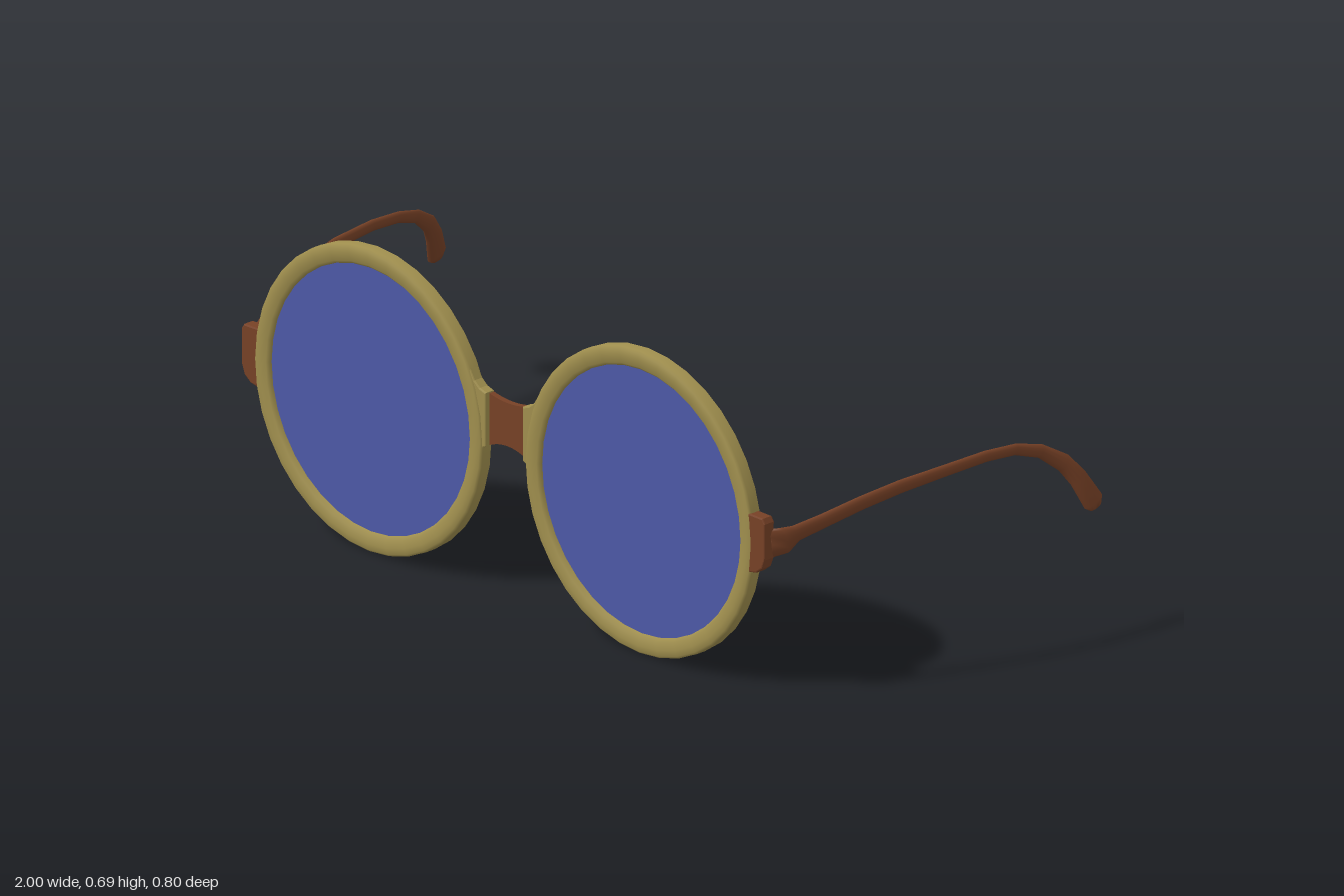
import * as THREE from 'three';

const CX = 0.407, CY = 0.343, CZ = 0.387; // lens centre

const mat = (name, color) => Object.assign(new THREE.MeshStandardMaterial({ color }), { name });

// Flat outline in x/y, mirrored by side, given depth from z0 to z1
function plate(points, side, z0, z1, bevel) {
  const shape = new THREE.Shape(points.map(([x, y]) => new THREE.Vector2(x * side, y)));
  const geo = new THREE.ExtrudeGeometry(shape, {
    depth: z1 - z0 - 2 * bevel, bevelEnabled: true, bevelSize: bevel,
    bevelThickness: bevel, bevelOffset: -bevel, bevelSegments: 2,
  });
  return geo.translate(0, 0, z0 + bevel);
}

// Oval cross-sections swept along the arm: [x, y, z, half height, half width]
function templeGeometry(side) {
  const rings = [
    [0.779, 0.349, 0.380, 0.034, 0.010],
    [0.795, 0.353, 0.350, 0.033, 0.012],
    [0.806, 0.366, 0.328, 0.021, 0.010],
    [0.832, 0.386, 0.270, 0.018, 0.009],
    [0.864, 0.413, 0.190, 0.017, 0.008],
    [0.891, 0.433, 0.100, 0.016, 0.008],
    [0.912, 0.444, 0.000, 0.014, 0.008],
    [0.923, 0.449, -0.120, 0.013, 0.008],
    [0.928, 0.443, -0.203, 0.013, 0.008],
    [0.938, 0.424, -0.267, 0.015, 0.009],
    [0.954, 0.388, -0.319, 0.020, 0.012],
    [0.969, 0.349, -0.348, 0.023, 0.013],
    [0.987, 0.295, -0.374, 0.027, 0.012],
    [0.990, 0.281, -0.379, 0.016, 0.007],
  ];
  const N = 12, pos = [], index = [];
  rings.forEach(([x, y, z, h, w], i) => {
    const a = rings[Math.max(i - 1, 0)], b = rings[Math.min(i + 1, rings.length - 1)];
    const dy = b[1] - a[1], dz = b[2] - a[2], len = Math.hypot(dy, dz);
    for (let j = 0; j < N; j++) {
      const t = (j / N) * Math.PI * 2, u = Math.sin(t) * h;
      pos.push(side * (x + Math.cos(t) * w), y - u * dz / len, z + u * dy / len);
    }
  });
  const tri = (a, b, c) => (side > 0 ? index.push(a, b, c) : index.push(a, c, b));
  const last = (rings.length - 1) * N;
  for (let i = 0; i < rings.length - 1; i++) {
    for (let j = 0; j < N; j++) {
      const a = i * N + j, b = i * N + (j + 1) % N;
      tri(a, a + N, b);
      tri(b, a + N, b + N);
    }
  }
  // End caps
  for (let j = 1; j < N - 1; j++) {
    tri(0, j, j + 1);
    tri(last, last + j + 1, last + j);
  }
  const geo = new THREE.BufferGeometry();
  geo.setAttribute('position', new THREE.Float32BufferAttribute(pos, 3));
  geo.setIndex(index);
  geo.computeVertexNormals();
  return geo;
}

export function createModel() {
  const model = new THREE.Group();
  model.name = 'roundGlasses';
  const rimMat = mat('olive gold rim', 0xa08f4e);
  const brown = mat('reddish brown', 0x774126);
  const lensMat = mat('blue lens', 0x4d59a8);

  const add = (name, geo, material, x = 0, y = 0, z = 0) => {
    const mesh = new THREE.Mesh(geo, material);
    mesh.name = name;
    mesh.position.set(x, y, z);
    model.add(mesh);
  };

  // Rim section: softly bevelled in front, crisp outer corner behind
  const rimProfile = [
    [0.343, -0.015], [0.343, 0.009], [0.338, 0.0145], [0.325, 0.015],
    [0.307, 0.0135], [0.300, 0.006], [0.300, -0.008], [0.307, -0.014], [0.325, -0.015], [0.343, -0.015],
  ].map(([r, z]) => new THREE.Vector2(r, z));

  for (const side of [1, -1]) {
    const label = side > 0 ? 'left' : 'right';
    add(label + 'Rim', new THREE.LatheGeometry(rimProfile, 36).rotateX(Math.PI / 2), rimMat, side * CX, CY, CZ);
    add(label + 'Lens', new THREE.CylinderGeometry(0.304, 0.304, 0.006, 36).rotateX(Math.PI / 2),
      lensMat, side * CX, CY, CZ);
    // Flare of the rim where it meets the bridge
    add(label + 'RimFlare', plate([
      [0.055, 0.459], [0.074, 0.465], [0.090, 0.478], [0.103, 0.500], [0.118, 0.490],
      [0.087, 0.400], [0.087, 0.340], [0.108, 0.270], [0.094, 0.285], [0.085, 0.310],
      [0.072, 0.328], [0.055, 0.337],
    ], side, 0.372, 0.398, 0.003), rimMat);
    // Hinge block on the outer edge of the rim, rounded below
    add(label + 'Hinge', plate([
      [0.728, 0.277], [0.760, 0.283], [0.778, 0.297], [0.786, 0.318],
      [0.787, 0.400], [0.780, 0.411], [0.735, 0.412],
    ], side, 0.372, 0.401, 0.003), brown);
    add(label + 'Temple', templeGeometry(side), brown);
  }

  // Bridge with curved upper and lower edges
  const bridge = new THREE.Shape();
  bridge.moveTo(-0.075, 0.462);
  bridge.quadraticCurveTo(0, 0.436, 0.075, 0.462);
  bridge.lineTo(0.075, 0.328);
  bridge.quadraticCurveTo(0, 0.374, -0.075, 0.328);
  bridge.closePath();
  add('bridge', new THREE.ExtrudeGeometry(bridge, { depth: 0.014, bevelEnabled: false, curveSegments: 10 }),
    brown, 0, 0, 0.373);

  return model;
}
